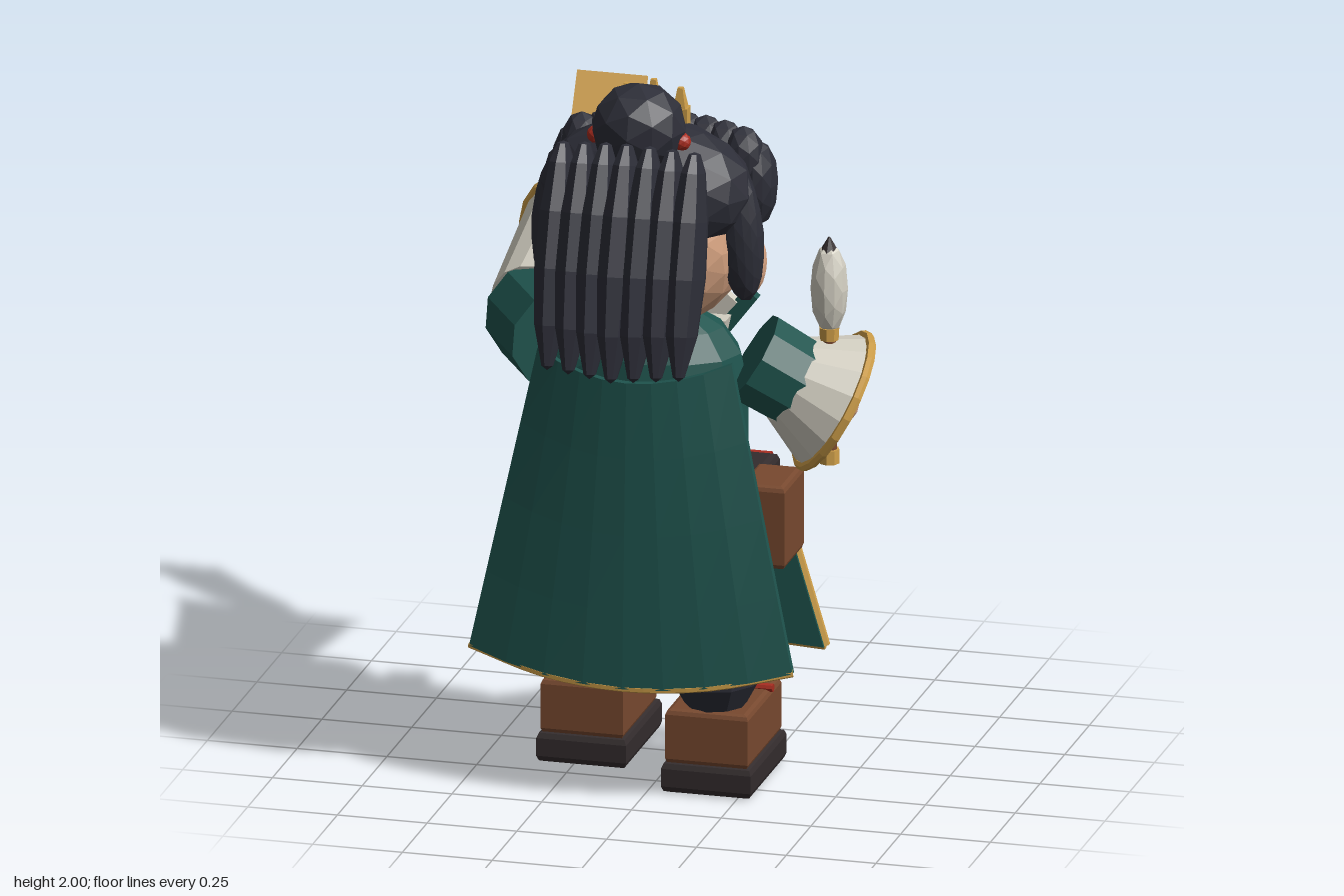
import * as THREE from 'three';

const paint = (name, color) => {
  const m = new THREE.MeshStandardMaterial({ color, flatShading: true });
  m.name = name;
  return m;
};
const V = (a) => new THREE.Vector3(...a);
const points2 = (list) => list.map((p) => new THREE.Vector2(...p));

export function createModel() {
  const hair = paint('inkBlack', 0x2d2e38), teal = paint('teal', 0x1f544e), skin = paint('skin', 0xd9a583);
  const cream = paint('cream', 0xd3cfc2), gold = paint('gold', 0xd0a04a), paper = paint('paper', 0xdcab58);
  const brown = paint('leather', 0x78492f), sole = paint('sole', 0x332c2d), red = paint('red', 0xa82c1f);

  const root = new THREE.Group();
  const body = new THREE.Group();
  body.name = 'body';
  body.position.x = -0.03;
  root.add(body);

  // helpers: any geometry, ellipsoid, box, turned shape, rod between two points, flat plate
  const add = (name, geo, mat, pos = [0, 0, 0], rot = [0, 0, 0], parent = body) => {
    const m = new THREE.Mesh(geo, mat);
    m.name = name;
    m.position.set(...pos);
    m.rotation.set(...rot);
    parent.add(m);
    return m;
  };
  const ball = (name, mat, pos, r, rot, parent, detail = 2) =>
    add(name, new THREE.IcosahedronGeometry(1, detail).scale(...r), mat, pos, rot, parent);
  const box = (name, mat, pos, size, rot, parent) => add(name, new THREE.BoxGeometry(...size), mat, pos, rot, parent);
  const turned = (name, mat, profile, pos, scale, rot, sides) =>
    add(name, new THREE.LatheGeometry(points2(profile), sides).scale(...scale), mat, pos, rot);
  const aim = (m, a, b) => {
    m.quaternion.setFromUnitVectors(V([0, 1, 0]), V(b).sub(V(a)).normalize());
    return m;
  };
  const rod = (name, mat, a, b, r1, r2 = r1, parent = body, sides = 8) => {
    const mid = V(a).add(V(b)).multiplyScalar(0.5).toArray();
    return aim(add(name, new THREE.CylinderGeometry(r2, r1, V(a).distanceTo(V(b)), sides), mat, mid, undefined, parent), a, b);
  };
  const plate = (name, mat, pts, depth, pos) =>
    add(name, new THREE.ExtrudeGeometry(new THREE.Shape(points2(pts)), { depth, bevelEnabled: false }), mat, pos);
  // box with chamfered edges
  const softBox = (name, mat, pos, [w, h, d], b = 0.015) => {
    const x = w / 2 - b, y = d / 2 - b;
    const s = new THREE.Shape(points2([[-x, -y], [x, -y], [x, y], [-x, y]]));
    const g = new THREE.ExtrudeGeometry(s, { depth: h - 2 * b, bevelSize: b, bevelThickness: b, bevelSegments: 2 });
    return add(name, g.translate(0, 0, b - h / 2).rotateX(-Math.PI / 2), mat, pos);
  };

  // boots and puffy trouser legs, one step apart
  const legProfile = [[0, -1], [0.62, -0.97], [0.93, -0.6], [1, -0.1], [0.92, 0.4], [0.62, 0.82], [0, 1]];
  for (const [side, z] of [[1, 0.165], [-1, 0.01]]) {
    const x = 0.195 * side;
    softBox('bootSole', sole, [x, 0.045, z], [0.25, 0.09, 0.365], 0.02);
    softBox('bootUpper', brown, [x, 0.16, z + 0.005], [0.23, 0.155, 0.34], 0.015);
    plate('bootOrnament', gold, [[-0.055, 0.012], [-0.02, -0.03], [0.02, -0.03], [0.055, 0.012], [0.03, 0.03], [0, 0.04], [-0.03, 0.03]],
      0.03, [x, 0.15, z - 0.19]);
    for (const y of [0.24, 0.3])
      rod('bootLace', red, [x - 0.12, y, z - 0.065], [x + 0.12, y, z - 0.065], 0.012);
    turned('trouserLeg', hair, legProfile, [x, 0.425, z + 0.08], [0.13, 0.2, 0.135], undefined, 10);
  }
  box('hips', hair, [0, 0.7, 0.16], [0.42, 0.13, 0.27]);

  // torso, neck, belt and pouch
  turned('torso', teal, [[0, 0.8], [0.25, 0.8], [0.26, 0.95], [0.26, 1.1], [0.24, 1.2], [0.19, 1.27], [0.1, 1.32], [0, 1.32]],
    [0, 0, 0.15], [1, 1, 0.68], undefined, 12);
  rod('neck', skin, [0, 1.24, 0.16], [0, 1.4, 0.16], 0.09);
  softBox('belt', sole, [0, 0.81, 0.163], [0.6, 0.12, 0.365], 0.02);
  softBox('pouch', brown, [0.33, 0.755, 0.18], [0.13, 0.235, 0.195]);
  rod('pouchTrim', gold, [0.3, 0.82, 0.07], [0.31, 0.68, 0.075], 0.01);

  // inner shirt and crossed collar, teal on one side and gold-edged cream on the other
  plate('shirtFront', cream, [[-0.15, 1.24], [-0.15, 0.86], [0.14, 0.86], [0.14, 1.15], [0.16, 1.24]], 0.06, [0, 0, -0.04]);
  for (const s of [1, -1]) {
    box('innerCollar', cream, [0.08 * s, 1.2, -0.05], [0.05, 0.24, 0.03], [0, 0, -0.7 * s]);
    box('outerCollar', s > 0 ? teal : cream, [0.135 * s, 1.2, -0.058], [0.045, 0.26, 0.035], [0, 0, -0.65 * s]);
  }
  box('collarTrim', gold, [-0.158, 1.182, -0.058], [0.015, 0.26, 0.037], [0, 0, 0.65]);

  // cape: a slab widened downwards and bowed backwards
  const capeAt = (u, v) => [u * (0.45 - 0.18 * v), (0.335 + 0.055 * u * u) * (1 - v) + (1.19 + 0.05 * u * u) * v,
    0.475 - 0.04 * v - 0.085 * u * u];
  const cape = new THREE.BoxGeometry(2, 1, 0.02, 8, 4, 1);
  const cp = cape.attributes.position;
  for (let i = 0; i < cp.count; i++) {
    const [x, y, z] = capeAt(cp.getX(i), cp.getY(i) + 0.5);
    cp.setXYZ(i, x, y, z + cp.getZ(i));
  }
  add('cape', cape, teal);
  const hem = [-1, -0.5, 0, 0.5, 1].map((u) => V(capeAt(u, 0)));
  add('capeTrim', new THREE.TubeGeometry(new THREE.CatmullRomCurve3(hem), 16, 0.011, 6), gold);

  // front robe panels with trim and stitched arcs, and the centre cloth
  for (const s of [1, -1]) {
    const pts = [[0.1, 0.84], [0.14, 0.35], [0.43, 0.335], [0.28, 0.84]].map(([x, y]) => [x * s, y]);
    plate('robePanel', teal, pts, 0.03, [0, 0, -0.02]);
    for (let i = 0; i < 3; i++)
      rod('panelTrim', gold, [...pts[i], -0.012], [...pts[i + 1], -0.012], 0.013, 0.013, body, 6);
    for (let i = 0; i < 3; i++)
      add('panelArc', new THREE.TorusGeometry(0.04, 0.007, 4, 8, Math.PI).scale(1, 0.6, 1), gold,
        [(0.24 + 0.025 * i) * s, 0.66 - 0.1 * i, -0.022]);
  }
  plate('centreCloth', cream, [[-0.1, 0.8], [-0.13, 0.53], [0, 0.43], [0.13, 0.53], [0.1, 0.8]], 0.015, [0, 0, -0.04]);

  // rope belt with knot and tassels
  for (const y of [0.8, 0.84]) rod('beltRope', red, [-0.25, y, -0.045], [0.27, y, -0.045], 0.02);
  ball('ropeKnot', red, [0.14, 0.83, -0.06], [0.045, 0.045, 0.038], undefined, body, 1);
  for (const s of [1, -1]) {
    rod('tasselCord', red, [0.15 * s, 0.8, -0.055], [0.165 * s, 0.6, -0.065], 0.013);
    for (const k of [-1, 0, 1])
      rod('tasselStrand', red, [0.165 * s + 0.008 * k, 0.61, -0.065], [0.17 * s + 0.02 * k, 0.5, -0.068], 0.012, 0.008, body, 5);
  }

  // head and face
  ball('head', skin, [0, 1.525, 0.18], [0.265, 0.25, 0.215], undefined, body, 3);
  ball('nose', skin, [0, 1.485, -0.055], [0.037, 0.04, 0.037]);
  box('mouth', sole, [0, 1.42, -0.025], [0.05, 0.012, 0.02]);
  for (const s of [1, -1]) {
    ball('ear', skin, [0.27 * s, 1.47, 0.17], [0.045, 0.09, 0.052]);
    ball('eyeWhite', cream, [0.095 * s, 1.575, -0.007], [0.054, 0.062, 0.03], [0, 0.25 * s, 0]);
    ball('iris', brown, [0.09 * s, 1.572, -0.031], [0.034, 0.04, 0.01], [0, 0.2 * s, 0]);
    ball('pupil', sole, [0.088 * s, 1.572, -0.039], [0.019, 0.023, 0.006]);
    box('eyebrow', hair, [0.1 * s, 1.65, -0.006], [0.095, 0.018, 0.03], [0, 0.25 * s, -0.12 * s]);
    ball('frontLock', hair, [0.262 * s, 1.655, 0.055], [0.052, 0.12, 0.07], undefined, body, 1);
    ball('backLock', hair, [0.258 * s, 1.565, 0.225], [0.064, 0.19, 0.055], [0, 0, 0.08 * s]);
    ball('hairTieEnd', red, [0.12 * s, 1.845, 0.315], [0.025, 0.025, 0.025], undefined, body, 1);
  }

  // hair: cap, fringe, top knot and ponytail strands
  ball('hairCap', hair, [0, 1.68, 0.225], [0.295, 0.19, 0.185]);
  for (let t = -1; t <= 1.01; t += 0.25)
    ball('fringe', hair, [0.225 * t, 1.745 - 0.015 * t * t, 0.035 + 0.04 * t * t], [0.058, 0.09, 0.057], undefined, body, 1);
  ball('topKnot', hair, [0, 1.875, 0.315], [0.13, 0.125, 0.125], undefined, body, 1);
  rod('hairTie', red, [-0.12, 1.845, 0.315], [0.12, 1.845, 0.315], 0.018);
  const strand = [[0, -1], [0.3, -0.96], [0.8, -0.6], [1, -0.1], [0.92, 0.4], [0.62, 0.82], [0.3, 0.98], [0, 1]];
  for (let i = -3; i <= 3; i++) {
    const k = Math.abs(i);
    turned('ponytailStrand', hair, strand, [0.061 * i, 1.555, 0.515 - 0.006 * k], [0.052, 0.325 - 0.005 * k, 0.118 - 0.005 * k],
      [-0.27, 0, 0], 8);
  }

  // small crown
  for (const i of [-1, 0, 1]) {
    box('crownBase', gold, [0.075 * i, 1.865, 0.165], [0.045, 0.05, 0.038]);
    add('crownSpike', new THREE.CylinderGeometry(0.01, 0.025, i ? 0.06 : 0.075, 4), gold, [0.075 * i, i ? 1.915 : 1.925, 0.165],
      [0, Math.PI / 4, 0]);
  }

  // wide cuffs: flared cone with a recessed opening and a gold rim
  const sleeve = (name, a, b, r1, r2) => {
    const L = V(a).distanceTo(V(b));
    const prof = [[0, 0], [r1, 0], [r2, L], [0.1, L - 0.005], [0.085, L - 0.05], [0, L - 0.05]];
    const g = new THREE.Group();
    g.name = name;
    g.position.set(...a);
    aim(g, a, b);
    root.add(g);
    add('cuff', new THREE.LatheGeometry(points2(prof), 16), cream, undefined, undefined, g);
    add('cuffRim', new THREE.TorusGeometry(r2, 0.013, 6, 20), gold, [0, L, 0], [Math.PI / 2, 0, 0], g);
  };

  // right arm stretched forward, holding a paper slip
  ball('rightShoulder', teal, [-0.23, 1.18, 0.16], [0.12, 0.12, 0.13], undefined, root);
  rod('rightUpperArm', teal, [-0.29, 1.195, 0.16], [-0.425, 1.19, -0.06], 0.14, 0.14, root, 10);
  sleeve('rightSleeve', [-0.412, 1.195, -0.05], [-0.372, 1.272, -0.462], 0.14, 0.2);
  ball('rightHand', skin, [-0.37, 1.285, -0.465], [0.075, 0.085, 0.05], undefined, root);
  for (const i of [-1, 0, 1])
    ball('finger', skin, [-0.37 + 0.035 * i, 1.335, -0.485], [0.02, 0.025, 0.022], undefined, root, 1);
  const slip = new THREE.Group();
  slip.name = 'paperSlip';
  root.add(slip);
  [[[1.34, -0.495], [1.515, -0.555], 0.33], [[1.515, -0.555], [1.68, -0.642], 0.48]].forEach(([p, q, tilt]) => {
    const g = new THREE.Group();
    g.position.set(-0.367, (p[0] + q[0]) / 2, (p[1] + q[1]) / 2);
    g.rotation.x = -tilt;
    slip.add(g);
    box('slipHalf', paper, [0, 0, 0], [0.195, 0.187, 0.012], undefined, g);
    // abstract brush strokes on the outward face
    for (const [x, y, w, h, r] of [[0, 0.02, 0.12, 0.016, 0.2], [-0.01, -0.025, 0.08, 0.016, 0.2], [0.02, 0, 0.016, 0.12, 0.15]])
      box('brushStroke', red, [x, y, -0.009], [w, h, 0.009], [0, 0, r], g);
  });

  // left arm held out, gripping a brush
  rod('leftUpperArm', teal, [0.25, 1.205, 0.18], [0.38, 1.12, 0.14], 0.13, 0.125, root, 10);
  sleeve('leftSleeve', [0.345, 1.14, 0.148], [0.455, 1.072, 0.102], 0.125, 0.197);
  ball('leftHand', skin, [0.455, 1.072, 0.105], [0.07, 0.07, 0.07], undefined, root);
  const bx = 0.445, bz = 0.115;
  rod('brushHandle', brown, [bx, 0.93, bz], [bx, 1.27, bz], 0.022, 0.018, root);
  ball('brushPommel', brown, [bx, 0.98, bz], [0.028, 0.04, 0.028], undefined, root, 1);
  rod('brushEnd', gold, [bx, 0.9, bz], [bx, 0.94, bz], 0.028, 0.028, root);
  rod('brushFerrule', gold, [bx, 1.25, bz], [bx, 1.285, bz], 0.026, 0.028, root);
  ball('brushBristles', cream, [bx, 1.395, bz], [0.052, 0.13, 0.052], undefined, root, 1);
  rod('brushTip', sole, [bx, 1.5, bz], [bx, 1.54, bz], 0.026, 0.003, root);

  return root;
}
